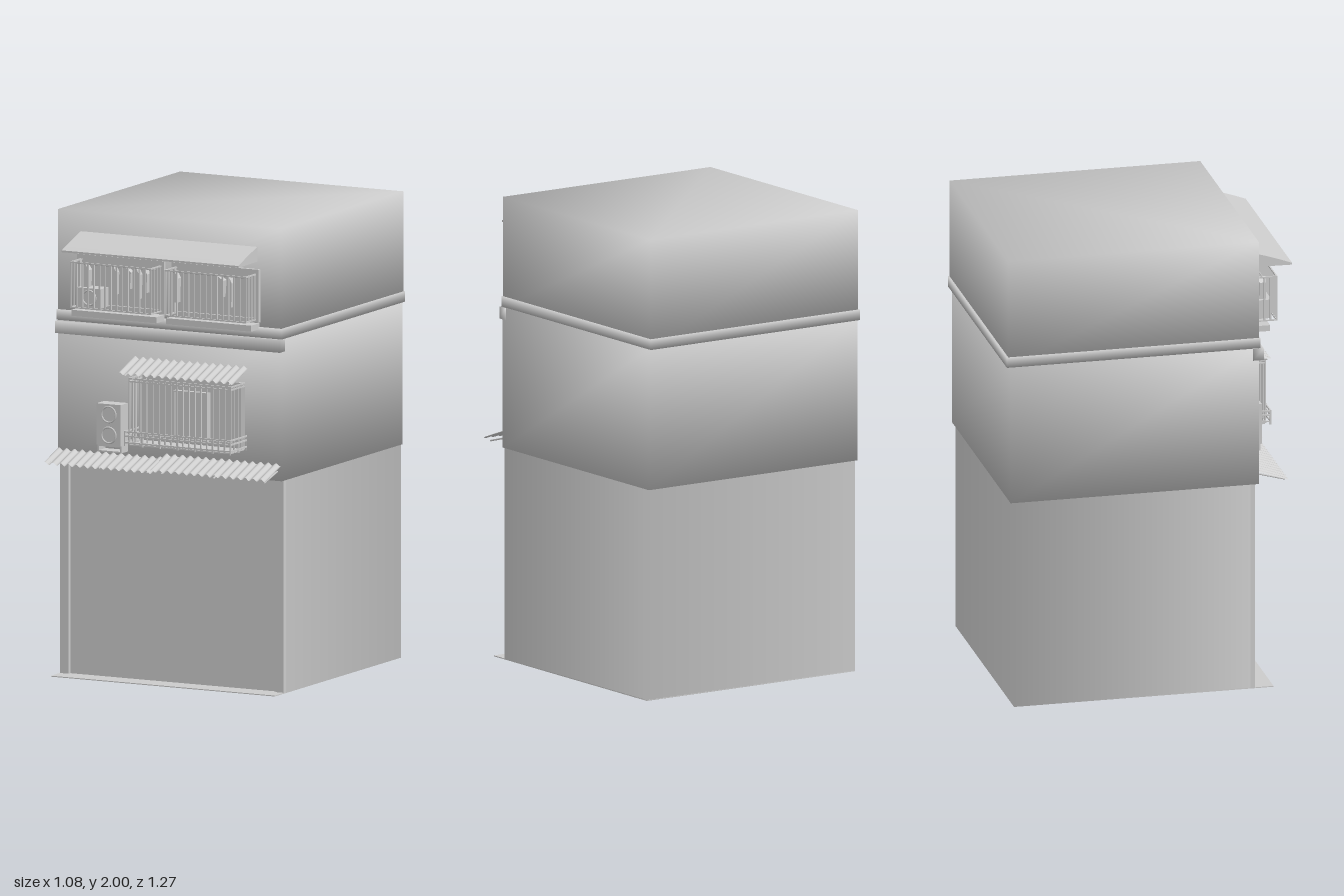
import * as THREE from 'three';
import { mergeVertices, mergeGeometries } from 'three/addons/utils/BufferGeometryUtils.js';

const grey = new THREE.MeshStandardMaterial({ color: 0xcccccc });
const greyDouble = new THREE.MeshStandardMaterial({ color: 0xcccccc, side: THREE.DoubleSide });

// Box geometry from its limits
function boxGeo(x0, x1, y0, y1, z0, z1) {
  return new THREE.BoxGeometry(x1 - x0, y1 - y0, z1 - z0)
    .translate((x0 + x1) / 2, (y0 + y1) / 2, (z0 + z1) / 2);
}

// Box whose corner normals are averaged, for softly shaded volumes
function softBoxGeo(...limits) {
  const g = boxGeo(...limits);
  g.deleteAttribute('normal');
  g.deleteAttribute('uv');
  const merged = mergeVertices(g);
  merged.computeVertexNormals();
  return merged;
}

function add(parent, name, geometry, material = grey) {
  const mesh = new THREE.Mesh(geometry, material);
  mesh.name = name;
  parent.add(mesh);
  return mesh;
}

// Rectangular picture-frame border
function frameGeo(x0, x1, y0, y1, z0, z1, w) {
  return mergeGeometries([
    boxGeo(x0, x1, y1 - w, y1, z0, z1), boxGeo(x0, x1, y0, y0 + w, z0, z1),
    boxGeo(x0, x0 + w, y0 + w, y1 - w, z0, z1), boxGeo(x1 - w, x1, y0 + w, y1 - w, z0, z1),
  ]);
}

// Projecting cage: upright bars on the front and both sides, rails at given heights
function cageGeo(x0, x1, y0, y1, z0, z1, bars, sideBars, rails, r = 0.003) {
  const parts = [];
  const bar = (x, z) => parts.push(boxGeo(x - r, x + r, y0, y1, z - r, z + r));
  for (let i = 0; i <= bars; i++) bar(x0 + (x1 - x0) * i / bars, z1);
  for (let i = 0; i < sideBars; i++) {
    const z = z0 + (z1 - z0) * i / sideBars;
    bar(x0, z);
    bar(x1, z);
  }
  for (const y of rails) {
    parts.push(boxGeo(x0 - r, x1 + r, y - r, y + r, z1 - r, z1 + r));
    for (const x of [x0, x1]) parts.push(boxGeo(x - r, x + r, y - r, y + r, z0, z1));
  }
  return mergeGeometries(parts);
}

// Corrugated sheet sloping down and outward from the wall
function corrugatedGeo(x0, x1, yBack, yFront, z0, z1, waves) {
  const g = new THREE.PlaneGeometry(1, 1, waves * 6, 1);
  const p = g.attributes.position;
  for (let i = 0; i < p.count; i++) {
    const u = p.getX(i) + 0.5, v = p.getY(i) + 0.5;
    p.setXYZ(i, x0 + (x1 - x0) * u,
      yFront + (yBack - yFront) * v + 0.006 * Math.sin(u * waves * Math.PI * 2),
      z1 + (z0 - z1) * v);
  }
  g.computeVertexNormals();
  return g;
}

// Straight thin rod between two points
function rodGeo(a, b, r = 0.004) {
  return new THREE.TubeGeometry(new THREE.LineCurve3(new THREE.Vector3(...a), new THREE.Vector3(...b)), 1, r, 6);
}

// Hanging garment, narrow at the hanger and wider at the hem
function garmentGeo(x, top, w, h, z) {
  const s = new THREE.Shape();
  s.moveTo(0, 0);
  s.lineTo(-w * 0.5, -h * 0.2);
  s.lineTo(-w * 0.4, -h);
  s.lineTo(w * 0.4, -h);
  s.lineTo(w * 0.5, -h * 0.2);
  return new THREE.ExtrudeGeometry(s, { depth: 0.03, bevelEnabled: false }).translate(x, top, z);
}

// Air conditioner: casing with round fan grilles
function coolerUnit(name, x0, x1, y0, y1, z0, z1, fans) {
  const g = new THREE.Group();
  g.name = name;
  add(g, 'casing', boxGeo(x0, x1, y0, y1, z0, z1));
  const step = (y1 - y0) / fans, r = Math.min(step, x1 - x0) * 0.38;
  for (let i = 0; i < fans; i++) {
    const ring = add(g, 'fanGrille', new THREE.TorusGeometry(r, 0.004, 6, 20));
    ring.position.set((x0 + x1) / 2, y0 + step * (i + 0.5), z1);
  }
  return g;
}

export function createModel() {
  const model = new THREE.Group();
  model.name = 'shopHouse';
  const wall = 0.466;

  // Ground floor: soft-cornered walls, front pillars, shutter and doorstep
  const walls = new THREE.CylinderGeometry(Math.SQRT1_2, Math.SQRT1_2, 0.915, 4, 1, true)
    .rotateY(Math.PI / 4).scale(1.077, 1, 1.03).translate(-0.0015, 0.4575, -0.085);
  add(model, 'groundFloorWalls', walls, greyDouble);
  add(model, 'groundFloorBase', boxGeo(-0.54, 0.537, 0, 0.004, -0.6, 0.43));
  add(model, 'leftPillar', boxGeo(0.497, 0.537, 0, 0.915, 0.38, 0.45));
  add(model, 'rightPillar', boxGeo(-0.54, -0.497, 0, 0.915, 0.38, 0.45));
  add(model, 'shutter', boxGeo(-0.497, 0.497, 0, 0.915, 0.425, 0.433));
  add(model, 'doorstep', boxGeo(-0.54, 0.537, 0, 0.004, 0.42, 0.53));

  // Upper storeys and the bands between them
  add(model, 'middleFloor', softBoxGeo(-0.541, 0.537, 0.915, 1.525, -0.615, wall));
  add(model, 'topFloor', softBoxGeo(-0.539, 0.535, 1.525, 2, -0.625, wall));
  add(model, 'floorBand', softBoxGeo(-0.544, 0.539, 1.525, 1.57, -0.632, 0.472));
  add(model, 'frontLedge', softBoxGeo(-0.542, 0.538, 1.47, 1.522, 0.44, 0.487));

  // Corrugated awnings over the shop front
  add(model, 'rightShopAwning', corrugatedGeo(-0.544, -0.02, 0.97, 0.926, wall, 0.592, 14), greyDouble);
  add(model, 'leftShopAwning', corrugatedGeo(-0.025, 0.537, 0.985, 0.936, wall, 0.604, 15), greyDouble);
  for (const x of [-0.52, -0.28, -0.05, 0.02, 0.27, 0.515]) {
    add(model, 'shopAwningArm', rodGeo([x, 0.955, wall], [x, 0.922, 0.585]));
  }

  // Middle floor window with cage, basket rail and awning
  const mid = new THREE.Group();
  mid.name = 'middleWindow';
  model.add(mid);
  add(mid, 'windowFrame', frameGeo(-0.125, 0.355, 1.05, 1.325, wall - 0.01, 0.48, 0.015));
  add(mid, 'windowPane', boxGeo(-0.11, 0.34, 1.065, 1.31, wall - 0.01, 0.47));
  add(mid, 'centrePanelFrame', frameGeo(0.03, 0.195, 1.06, 1.27, wall, 0.495, 0.007));
  add(mid, 'centrePanel', boxGeo(0.037, 0.188, 1.067, 1.263, wall, 0.488));
  add(mid, 'cage', cageGeo(-0.13, 0.357, 1.04, 1.325, wall, 0.59, 17, 4, [1.045, 1.31, 1.322]));
  add(mid, 'cageFloor', boxGeo(-0.13, 0.357, 1.035, 1.04, wall, 0.59));
  add(mid, 'basketRail', cageGeo(-0.14, 0.367, 1.035, 1.1, wall, 0.612, 6, 2, [1.05, 1.078, 1.096]));
  add(mid, 'awning', corrugatedGeo(-0.178, 0.38, 1.392, 1.342, wall, 0.604, 15), greyDouble);
  for (const x of [-0.15, 0.1, 0.35]) {
    add(mid, 'awningArm', rodGeo([x, 1.375, wall], [x, 1.332, 0.595]));
  }

  // Air conditioner beside the middle window, on a bracket
  model.add(coolerUnit('wallCooler', -0.318, -0.203, 1.015, 1.193, wall, 0.532, 2));
  add(model, 'coolerBracket', frameGeo(-0.318, -0.203, 0.985, 1.015, wall, 0.525, 0.006));

  // Top floor: two caged windows with sills
  for (const [x0, x1, name] of [[-0.44, -0.022, 'rightTopWindow'], [0.014, 0.434, 'leftTopWindow']]) {
    const win = new THREE.Group();
    win.name = name;
    model.add(win);
    add(win, 'frame', frameGeo(x0, x1, 1.59, 1.818, wall - 0.01, 0.482, 0.018));
    add(win, 'pane', boxGeo(x0 + 0.018, x1 - 0.018, 1.608, 1.8, wall - 0.01, 0.47));
    add(win, 'sill', boxGeo(x0 + 0.005, x1 - 0.005, 1.56, 1.586, wall, 0.54));
    add(win, 'cage', cageGeo(x0 + 0.02, x1 - 0.015, 1.6, 1.8, wall, 0.572, 14, 4, [1.603, 1.797]));
    add(win, 'clothesRail', rodGeo([x0 + 0.02, 1.785, 0.52], [x1 - 0.015, 1.785, 0.52], 0.003));
  }
  for (const [x, w, h] of [[-0.37, 0.03, 0.12], [-0.235, 0.022, 0.12], [-0.175, 0.045, 0.09],
    [-0.125, 0.025, 0.13], [-0.085, 0.02, 0.1], [0.06, 0.025, 0.13], [0.265, 0.055, 0.09], [0.32, 0.025, 0.13]]) {
    add(model, 'garment', garmentGeo(x, 1.785, w, h, 0.505));
  }
  model.add(coolerUnit('cageCooler', -0.4, -0.285, 1.605, 1.688, 0.49, 0.555, 1));

  // Wedge-shaped canopy above the top windows
  const profile = new THREE.Shape();
  profile.moveTo(wall - 0.01, 1.85);
  profile.lineTo(0.637, 1.848);
  profile.lineTo(0.637, 1.856);
  profile.quadraticCurveTo(0.55, 1.89, wall - 0.01, 1.916);
  add(model, 'topCanopy', new THREE.ExtrudeGeometry(profile, { depth: 0.85, bevelEnabled: false, curveSegments: 6 })
    .rotateY(-Math.PI / 2).translate(0.42, 0, 0));

  return model;
}
